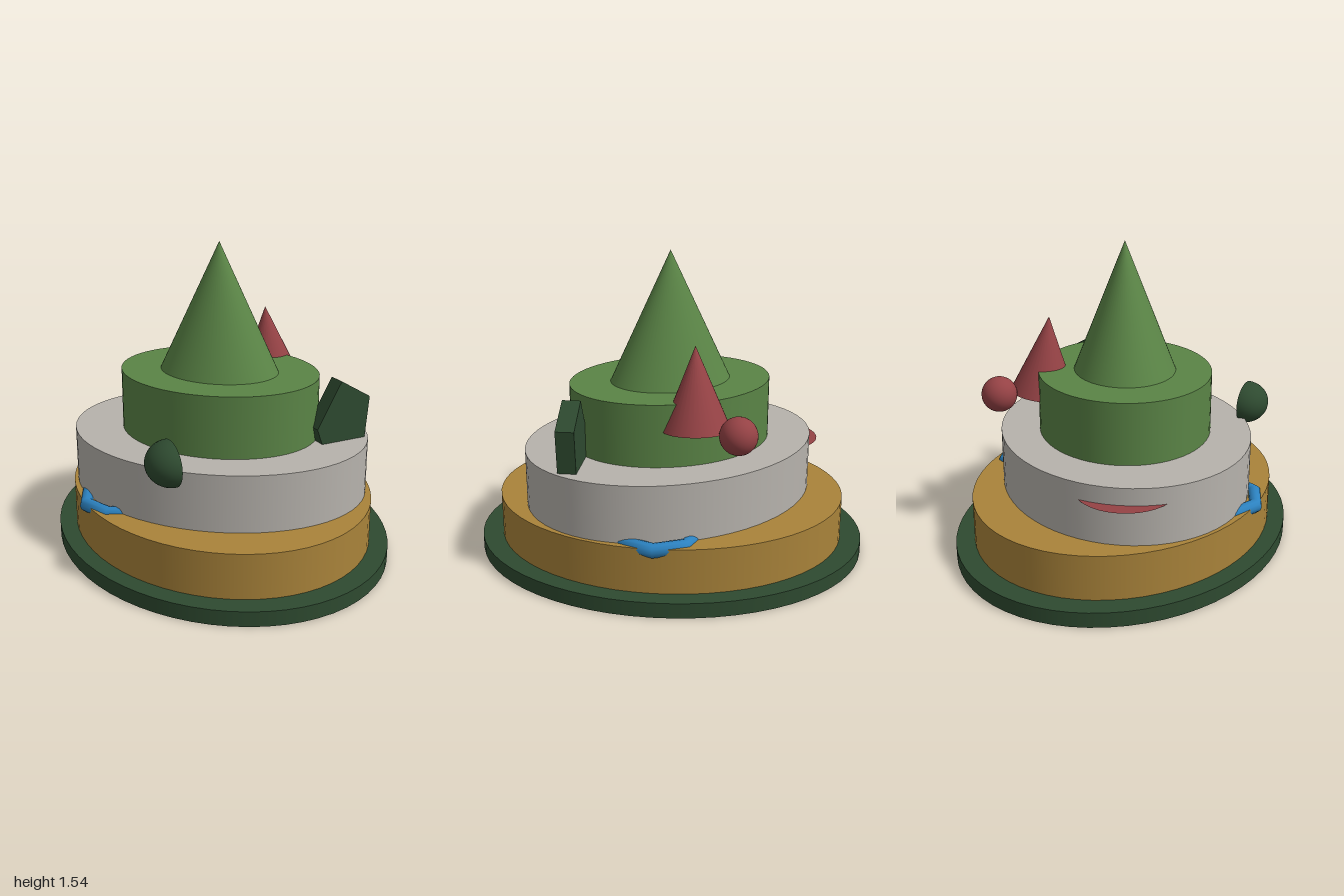
import * as THREE from 'three';

const mat = (name, color) => {
  const m = new THREE.MeshStandardMaterial({ color });
  m.name = name;
  return m;
};

export function createModel() {
  const group = new THREE.Group();
  const darkGreen = mat('darkGreen', 0x2e4a30);
  const green = mat('green', 0x5a8446);
  const tan = mat('tan', 0xa9833a);
  const grey = mat('stoneGrey', 0xb6b2ac);
  const red = mat('red', 0x954245);
  const blue = mat('blue', 0x2c82c0);
  // open and flat pieces show both faces
  const redSheet = mat('redSheet', 0x954245);
  const greenShell = mat('darkGreenShell', 0x2e4a30);
  redSheet.side = greenShell.side = THREE.DoubleSide;

  const add = (name, geometry, material, x = 0, y = 0, z = 0) => {
    const mesh = new THREE.Mesh(geometry, material);
    mesh.name = name;
    mesh.position.set(x, y, z);
    group.add(mesh);
    return mesh;
  };

  // stacked oval tiers: name, material, x radius, z radius, bottom, top, turn, top scale
  const tiers = [
    ['basePlate', darkGreen, 0.825, 1.0, 0, 0.075, 0, 1],
    ['lowerTier', tan, 0.74, 0.893, 0.075, 0.3, 0, 1],
    ['middleTier', grey, 0.636, 0.772, 0.3, 0.585, 0.7, 1],
    ['upperTier', green, 0.44, 0.523, 0.585, 0.895, 0.575, 1],
    ['spire', green, 0.258, 0.313, 0.895, 1.545, 0.575, 0],
  ];
  for (const [name, material, rx, rz, y0, y1, turn, top] of tiers) {
    const geometry = new THREE.CylinderGeometry(top, 1, y1 - y0, 64);
    const tier = add(name, geometry, material, 0, (y0 + y1) / 2, 0);
    tier.scale.set(rx, 1, rz);
    tier.rotation.y = turn;
  }

  // eight-sided rings half sunk into both flanks
  for (const side of [1, -1]) {
    const ring = new THREE.TorusGeometry(0.203, 0.035, 12, 8).rotateX(Math.PI / 2);
    add(side > 0 ? 'leftRing' : 'rightRing', ring, blue, side * 0.53, 0.29, 0);
  }

  // leaning small cone, its tip at the local origin
  const smallCone = new THREE.ConeGeometry(0.165, 0.4, 32).translate(0, -0.2, 0);
  add('smallCone', smallCone, red, 0.35, 1.155, -0.155).rotation.set(0.03, 0, 0.103);

  add('ball', new THREE.SphereGeometry(0.09, 32, 20), red, 0.52, 0.78, -0.37);

  // flat disc jutting from the back of the middle tier
  const disc = new THREE.CircleGeometry(0.235, 48).rotateX(-Math.PI / 2);
  add('backDisc', disc, redSheet, -0.29, 0.5, -0.53);

  // open half dome bulging outwards on the right
  const dome = new THREE.SphereGeometry(1, 32, 12, 0, Math.PI * 2, 0, Math.PI / 2).rotateZ(Math.PI / 2);
  add('halfDome', dome, greenShell, -0.48, 0.64, 0.475).scale.set(0.12, 0.11, 0.13);

  // upright five-sided slab
  const outline = [[0.305, 0.665], [0.394, 0.423], [0.578, 0.503], [0.605, 0.797], [0.436, 0.896]];
  const slab = new THREE.ExtrudeGeometry(
    new THREE.Shape(outline.map(([x, y]) => new THREE.Vector2(x, y))),
    { depth: 0.09, bevelEnabled: false }
  );
  add('pentagonSlab', slab, darkGreen, 0, 0, 0.375);

  return group;
}
